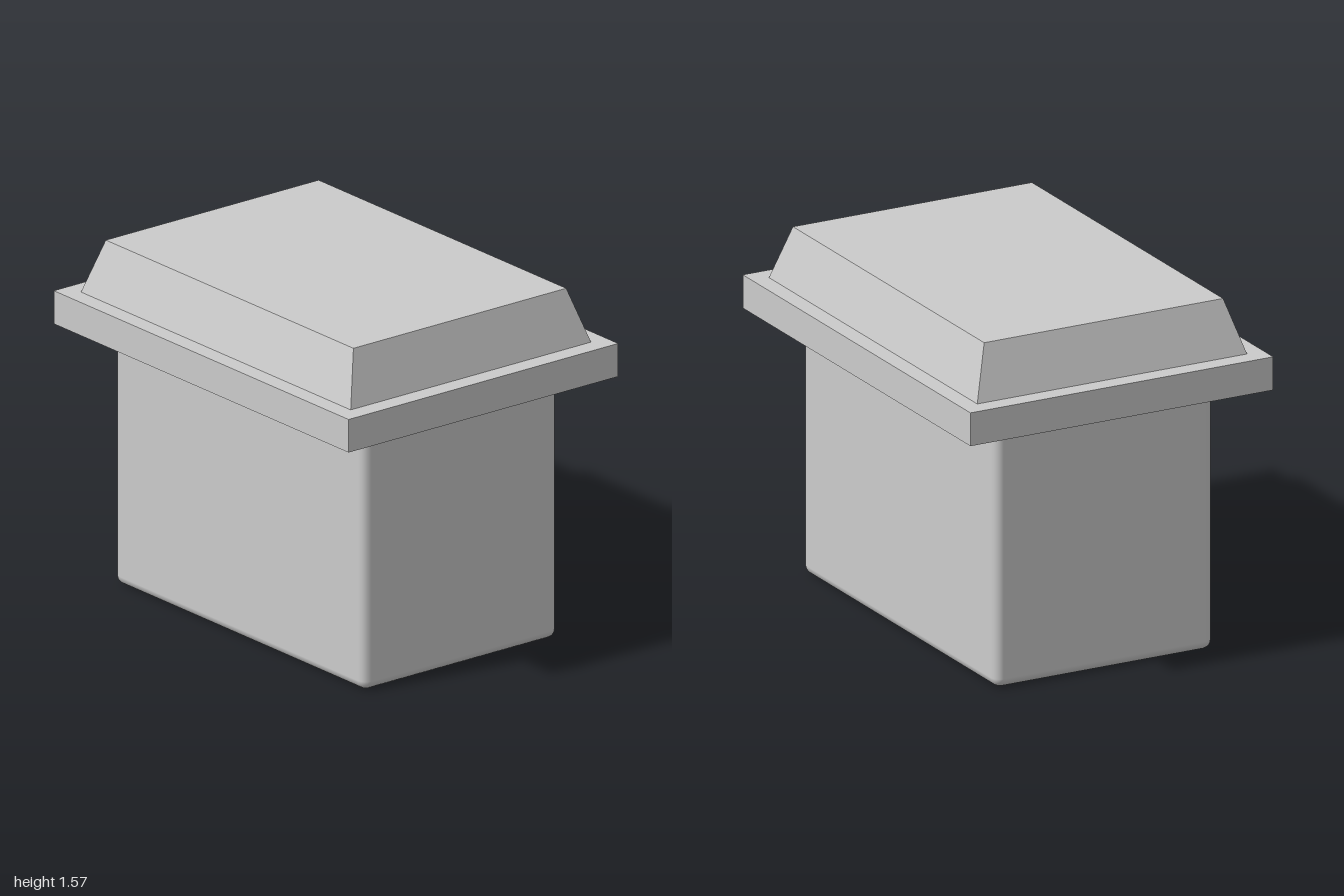
import * as THREE from 'three';
import { RoundedBoxGeometry } from 'three/addons/geometries/RoundedBoxGeometry.js';

export function createModel() {
  const group = new THREE.Group();
  const material = new THREE.MeshStandardMaterial({ color: 0xcccccc });

  // Adds a mesh whose underside sits at the given height
  function add(name, geometry, height, bottom) {
    const mesh = new THREE.Mesh(geometry, material);
    mesh.name = name;
    mesh.position.y = bottom + height / 2;
    group.add(mesh);
  }

  // Body: softly rounded box whose top rounding is buried in the rim
  add('body', new RoundedBoxGeometry(1.7, 1.25, 1.06, 2, 0.04), 1.25, 0);

  // Rim: flat overhanging slab
  add('rim', new THREE.BoxGeometry(2, 0.15, 1.47), 0.15, 1.18);

  // Lid: box with its top face drawn in by the same margin on all sides
  const lid = new THREE.BoxGeometry(1.83, 0.24, 1.31);
  const p = lid.attributes.position;
  const inset = 0.075;
  for (let i = 0; i < p.count; i++) {
    if (p.getY(i) > 0) {
      p.setX(i, p.getX(i) - Math.sign(p.getX(i)) * inset);
      p.setZ(i, p.getZ(i) - Math.sign(p.getZ(i)) * inset);
    }
  }
  lid.computeVertexNormals();
  add('lid', lid, 0.24, 1.33);

  return group;
}
